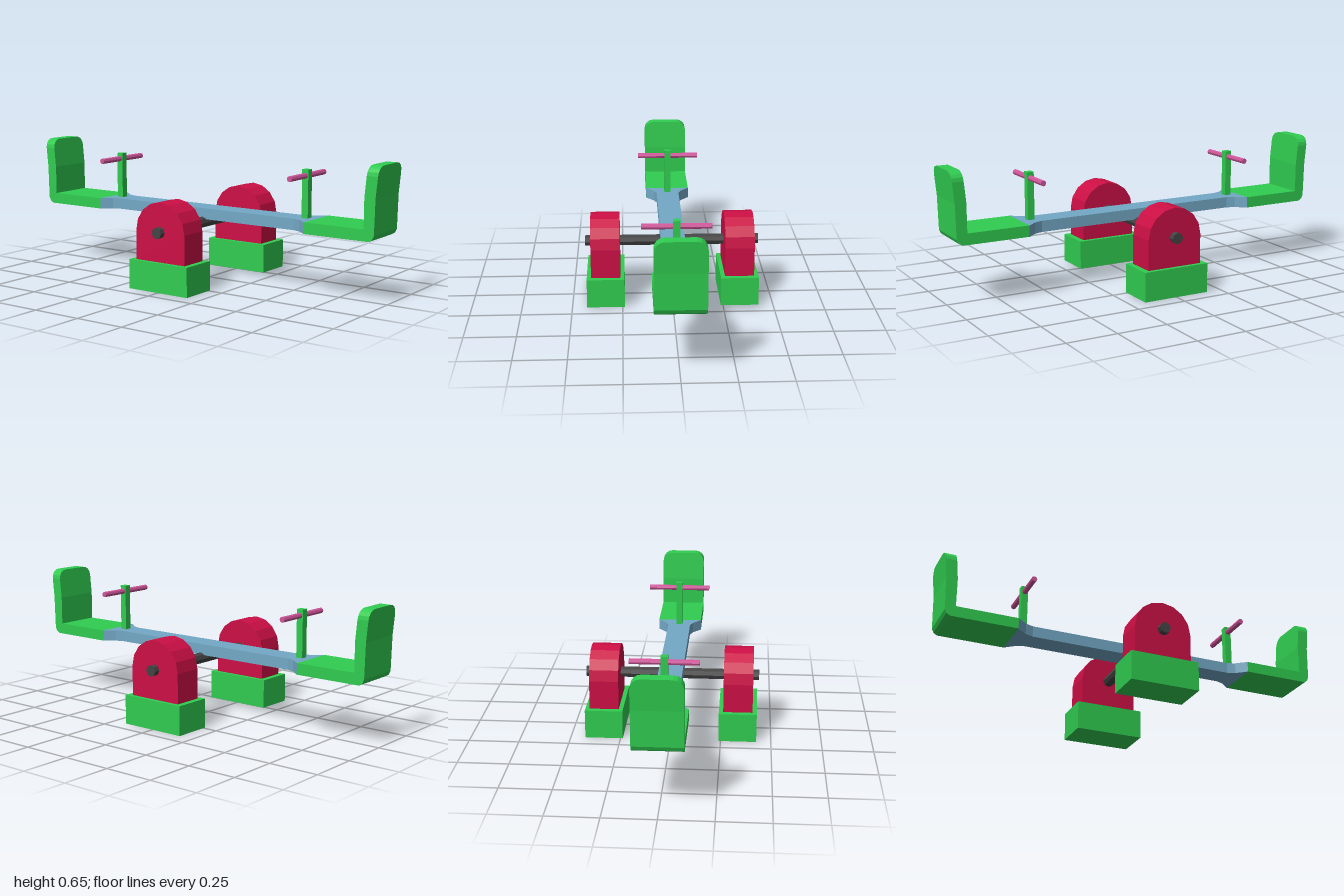
import * as THREE from 'three';

const material = (color) => new THREE.MeshStandardMaterial({ color, flatShading: true });
const green = material(0x30cc50);
const red = material(0xcc0f45);
const blue = material(0x73a9c6);
const dark = material(0x444444);
const pink = material(0xd0559a);

function add(parent, name, geometry, mat, x = 0, y = 0, z = 0) {
  const mesh = new THREE.Mesh(geometry, mat);
  mesh.name = name;
  mesh.position.set(x, y, z);
  parent.add(mesh);
  return mesh;
}

// Extrudes an outline of [x, y] points, centred on its depth
function slab(points, depth) {
  const shape = new THREE.Shape(points.map(([x, y]) => new THREE.Vector2(x, y)));
  return new THREE.ExtrudeGeometry(shape, { depth, bevelEnabled: false }).translate(0, 0, -depth / 2);
}

// Points along an arc, angles in units of pi
function arc(cx, cy, r, from, to, steps) {
  return Array.from({ length: steps + 1 }, (_, i) => {
    const a = Math.PI * (from + ((to - from) * i) / steps);
    return [cx + r * Math.cos(a), cy + r * Math.sin(a)];
  });
}

// Round bar lying along z
const bar = (r, length) => new THREE.CylinderGeometry(r, r, length, 8).rotateX(Math.PI / 2);

const BOTTOM = 0.307, TOP = 0.362, HALF_SEAT = 0.115, BEND = 0.505;

function createSeat() {
  const seat = new THREE.Group();

  // Seat pan and the upright lower part of the backrest
  add(seat, 'seatPan', slab([
    [0.62, BOTTOM], [0.955, BOTTOM], [0.973, 0.318], [0.982, 0.337], [0.986, BEND],
    [0.93, BEND], [0.93, TOP], [0.62, TOP],
  ], HALF_SEAT * 2), green);

  // Upper backrest with rounded corners, sheared outward
  const r = 0.047, c = HALF_SEAT - r, cy = 0.652 - r;
  const back = slab([
    [-HALF_SEAT, BEND], [HALF_SEAT, BEND],
    ...arc(c, cy, r, 0, 0.5, 4), ...arc(-c, cy, r, 0.5, 1, 4),
  ], 0.056).rotateY(Math.PI / 2);
  const p = back.attributes.position;
  for (let i = 0; i < p.count; i++) p.setX(i, p.getX(i) + 0.958 + (p.getY(i) - BEND) * 0.095);
  back.computeVertexNormals();
  add(seat, 'backrest', back, green);

  // Handle post with its crossbar
  add(seat, 'handlePost', new THREE.BoxGeometry(0.034, 0.235, 0.034), green, 0.565, 0.477, 0);
  add(seat, 'handleBar', bar(0.014, 0.32), pink, 0.565, 0.565, 0);
  return seat;
}

function createSupport() {
  const support = new THREE.Group();
  add(support, 'base', new THREE.BoxGeometry(0.346, 0.145, 0.188), green, 0, 0.0725, 0);
  add(support, 'archedBearing', slab([
    [-0.144, 0.145], [0.144, 0.145], ...arc(0, 0.291, 0.144, 0, 1, 8),
  ], 0.145), red);
  return support;
}

export function createModel() {
  const model = new THREE.Group();
  model.name = 'seesaw';

  // Beam flaring out to the seat width at both ends
  const edge = [[0.53, 0.059], [0.57, 0.073], [0.62, HALF_SEAT]];
  const mirrored = [...edge].reverse();
  const plan = [
    ...mirrored.map(([x, z]) => [x, -z]).reverse(),
    ...mirrored,
    ...edge.map(([x, z]) => [-x, z]),
    ...mirrored.map(([x, z]) => [-x, -z]),
  ];
  add(model, 'beam', slab(plan, TOP - BOTTOM).rotateX(-Math.PI / 2), blue, 0, (TOP + BOTTOM) / 2, 0);

  // Axle through both bearings
  add(model, 'axle', bar(0.028, 0.87), dark, 0, 0.291, 0);

  for (const side of [1, -1]) {
    const seat = createSeat();
    seat.name = side > 0 ? 'leftSeat' : 'rightSeat';
    seat.rotation.y = side > 0 ? 0 : Math.PI;
    model.add(seat);

    const support = createSupport();
    support.name = side > 0 ? 'frontSupport' : 'backSupport';
    support.position.z = side * 0.333;
    model.add(support);
  }
  return model;
}
